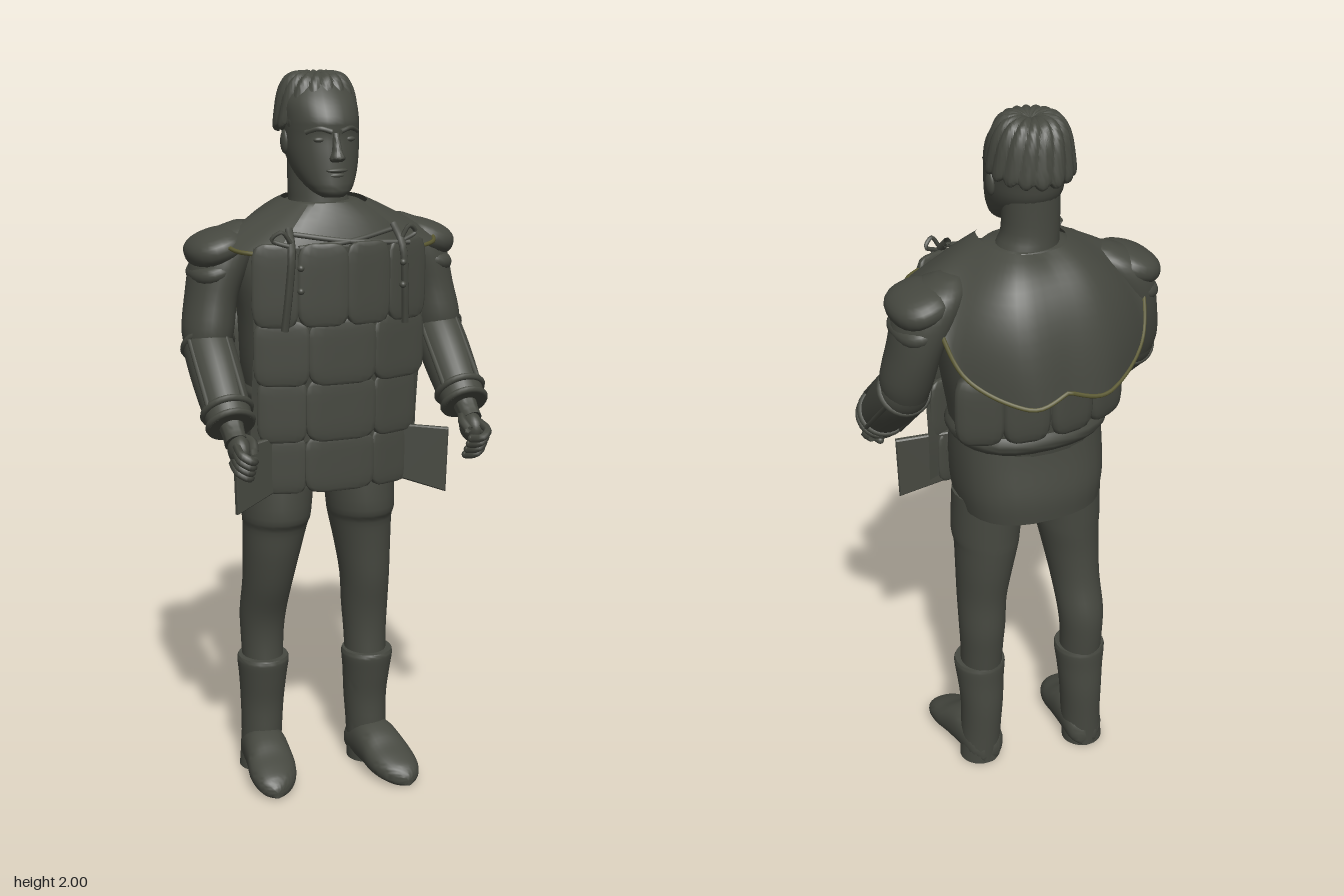
import * as THREE from 'three';
import { mergeVertices, toCreasedNormals } from 'three/addons/utils/BufferGeometryUtils.js';

const cloth = new THREE.MeshStandardMaterial({ color: 0x464840, side: THREE.DoubleSide });
cloth.name = 'dark olive grey';
const gold = new THREE.MeshStandardMaterial({ color: 0x5c5a32, side: THREE.DoubleSide });
gold.name = 'dull gold trim';

const V = (x, y, z) => new THREE.Vector3(x, y, z);

// Surface from a rule fn(u, v) -> [x, y, z]
function grid(nu, nv, fn, crease = 0.9) {
  const pos = [], idx = [];
  for (let j = 0; j <= nv; j++) for (let i = 0; i <= nu; i++) pos.push(...fn(i / nu, j / nv));
  for (let j = 0; j < nv; j++) for (let i = 0; i < nu; i++) {
    const a = j * (nu + 1) + i, b = a + 1, c = a + nu + 1, d = c + 1;
    idx.push(a, b, c, b, d, c);
  }
  const g = new THREE.BufferGeometry();
  g.setAttribute('position', new THREE.Float32BufferAttribute(pos, 3));
  g.setIndex(idx);
  return toCreasedNormals(mergeVertices(g, 1e-5), crease);
}

// Smooth interpolation through rows of numbers
function through(rows, t) {
  const n = rows.length - 1, f = Math.min(Math.max(t, 0), 1) * n, i = Math.min(Math.floor(f), n - 1), w = f - i;
  const p0 = rows[Math.max(i - 1, 0)], p1 = rows[i], p2 = rows[i + 1], p3 = rows[Math.min(i + 2, n)];
  return p1.map((b, k) => {
    const a = p0[k], c = p2[k], d = p3[k];
    return b + 0.5 * w * (c - a + w * (2 * a - 5 * b + 4 * c - d + w * (3 * (b - c) + d - a)));
  });
}

// Capped loft of superellipses; sections are [y, centreX, centreZ, radiusX, radiusZ], bottom to top
function loft(sections, power = 1, nu = 28) {
  const steps = (sections.length - 1) * 4, nv = steps + 2;
  return grid(nu, nv, (u, v) => {
    const j = Math.round(v * nv), s = through(sections, (j - 1) / steps);
    const k = j === 0 || j === nv ? 0 : 1, a = -u * Math.PI * 2;
    const c = Math.cos(a), d = Math.sin(a), r = (q) => k * Math.sign(q) * Math.abs(q) ** power;
    return [s[1] + s[3] * r(c), s[0], s[2] + s[4] * r(d)];
  });
}

// Plump cushion; a higher exponent is boxier
function padGeometry(sx, sy, sz, e) {
  const g = new THREE.SphereGeometry(1, 24, 16), p = g.attributes.position;
  for (let i = 0; i < p.count; i++) {
    const q = V().fromBufferAttribute(p, i);
    const n = (Math.abs(q.x) ** e + Math.abs(q.y) ** e + Math.abs(q.z) ** e) ** (1 / e);
    p.setXYZ(i, q.x / n * sx, q.y / n * sy, q.z / n * sz);
  }
  g.computeVertexNormals();
  return g;
}

const tube = (pts, r, n = 16) => new THREE.TubeGeometry(new THREE.CatmullRomCurve3(pts), n, r, 6);

export function createModel() {
  const root = new THREE.Group();
  const add = (name, geo, parent = root, mat = cloth) => {
    const m = new THREE.Mesh(geo, mat);
    m.name = name;
    parent.add(m);
    return m;
  };
  const pad = (name, x, y, z, sx, sy, sz, e, parent) => {
    const m = add(name, padGeometry(sx, sy, sz, e), parent);
    m.position.set(x, y, z);
    return m;
  };
  const ball = (name, x, y, z, sx, sy, sz, parent) => pad(name, x, y, z, sx, sy, sz, 2, parent);

  // Legs, boots and feet; the left leg stands forward and the right leg back
  const legs = new THREE.Group();
  legs.name = 'legs';
  legs.position.x = -0.02;
  root.add(legs);
  for (const s of [-1, 1]) {
    // the stride fades out towards the hips
    const side = (rows) => rows.map(([y, x, z, ...r]) =>
      [y, x * s, z + s * 0.029 * (1 - THREE.MathUtils.smoothstep(y, 0.4, 0.75)), ...r]);
    add('leg', loft(side([[0.3, 0.148, -0.06, 0.058, 0.066], [0.4, 0.148, -0.068, 0.061, 0.068], [0.48, 0.147, -0.066, 0.066, 0.074],
      [0.58, 0.143, -0.046, 0.07, 0.083], [0.68, 0.136, -0.038, 0.08, 0.093], [0.76, 0.128, -0.034, 0.09, 0.101],
      [0.8, 0.126, -0.026, 0.096, 0.11], [0.93, 0.118, -0.03, 0.101, 0.108]])), legs);
    add('boot', loft(side([[0, 0.158, -0.068, 0.06, 0.06], [0.1, 0.153, -0.066, 0.058, 0.066], [0.2, 0.15, -0.068, 0.062, 0.068],
      [0.28, 0.15, -0.06, 0.068, 0.073], [0.335, 0.15, -0.055, 0.074, 0.078], [0.35, 0.15, -0.055, 0.071, 0.075]])), legs);
    const foot = add('foot', loft([[-0.128, -0.012, -0.03, 0.025, 0.03], [-0.1, -0.01, -0.052, 0.055, 0.052], [-0.03, -0.004, -0.066, 0.063, 0.066],
      [0.03, 0.002, -0.06, 0.066, 0.06], [0.08, 0.008, -0.047, 0.069, 0.047], [0.125, 0.014, -0.038, 0.062, 0.038],
      [0.16, 0.02, -0.029, 0.044, 0.029], [0.182, 0.025, -0.02, 0.012, 0.014]]
      .map(([z, dx, ...r]) => [z + s * 0.029, s * (0.162 + dx), ...r]), 0.85), legs);
    foot.rotation.x = Math.PI / 2;
  }

  // Body, skirt and belt
  add('torso', loft([[1.08, -0.01, -0.04, 0.2, 0.16], [1.2, -0.01, -0.045, 0.218, 0.17], [1.35, 0, -0.05, 0.235, 0.165],
    [1.5, 0, -0.05, 0.25, 0.15], [1.6, 0, -0.05, 0.2, 0.12], [1.66, 0, -0.05, 0.1, 0.09]], 0.85));
  add('skirt', loft([[0.9, -0.01, -0.045, 0.198, 0.177], [0.97, -0.01, -0.045, 0.208, 0.18], [1.07, -0.01, -0.04, 0.21, 0.167],
    [1.15, -0.01, -0.04, 0.205, 0.155]], 0.8));
  add('waistRoll', loft([[1.105, -0.01, -0.04, 0.2, 0.16], [1.14, -0.01, -0.042, 0.222, 0.182], [1.18, -0.01, -0.04, 0.205, 0.165]], 0.85));

  // Quilted chest plate standing off the body
  const frontZ = (x, y) => 0.178 - 0.95 * x * x - 0.04 * THREE.MathUtils.smoothstep(1.4 - y, 0, 0.4);
  const plate = new THREE.Group();
  plate.name = 'chestPlate';
  plate.position.x = -0.015;
  root.add(plate);
  add('plateBacking', grid(16, 16, (u, v) => {
    const x = (u - 0.5) * 0.48, y = 0.92 + v * 0.645;
    return [x, y, frontZ(x, y)];
  }), plate);
  // rows are [bottom, top, column edges]
  const rows = [[1.36, 1.572, [-0.245, -0.13, 0, 0.12, 0.24]], [1.2, 1.37, [-0.24, -0.1, 0.08, 0.24]],
    [1.04, 1.21, [-0.225, -0.1, 0.09, 0.225]], [0.895, 1.05, [-0.205, -0.1, 0.09, 0.205]]];
  for (const [y0, y1, edges] of rows) for (let i = 0; i < edges.length - 1; i++) {
    const x = (edges[i] + edges[i + 1]) / 2, y = (y0 + y1) / 2;
    const m = pad('quiltPanel', x, y, frontZ(x, y), (edges[i + 1] - edges[i]) / 2 + 0.005, (y1 - y0) / 2 + 0.004, 0.013, 5, plate);
    m.rotation.y = Math.atan(1.9 * x);
  }

  // Angled hip flaps, outer edges swung forwards
  for (const s of [-1, 1]) {
    const shape = new THREE.Shape([[0, 1.05], [0.145, 1.035], [0.14, 0.86], [0.02, 0.9]].map(([x, y]) => new THREE.Vector2(s * x, y)));
    const flap = add('hipFlap', new THREE.ExtrudeGeometry(shape, { depth: 0.01, bevelSize: 0.004, bevelThickness: 0.004, bevelSegments: 1 }));
    flap.position.set(s * 0.17 - 0.01, 0, 0.095);
    flap.rotation.y = -s * 0.3;
  }

  // Back pouches
  for (const x of [-0.19, -0.068, 0.068, 0.19]) {
    const m = pad('backPouch', x * 0.95, 1.255, -0.218 + Math.abs(x) * 0.3, 0.066, 0.1, 0.03, 4);
    m.rotation.y = -x * 2.2;
  }

  // Shoulder cape; each column is neck, middle and hem points from the back centre round to the lapel
  const columns = [[0, 1.66, -0.15, 0, 1.56, -0.265, 0, 1.34, -0.315], [0.06, 1.668, -0.15, 0.12, 1.55, -0.26, 0.12, 1.315, -0.314],
    [0.1, 1.668, -0.1, 0.21, 1.56, -0.18, 0.275, 1.39, -0.205], [0.11, 1.668, -0.04, 0.21, 1.62, -0.05, 0.31, 1.56, -0.09],
    [0.1, 1.665, 0.03, 0.19, 1.61, 0.05, 0.28, 1.55, 0.07], [0.08, 1.66, 0.06, 0.14, 1.605, 0.105, 0.2, 1.545, 0.14]];
  const capePoint = (u, v) => {
    const w = u * 2 - 1, c = through(columns, Math.abs(w));
    const bez = [0, 1, 2].map((k) => c[k] * (1 - v) * (1 - 2 * v) + c[k + 3] * 4 * v * (1 - v) + c[k + 6] * v * (2 * v - 1));
    // narrower behind the left shoulder
    bez[0] *= w > 0 ? 1 - 0.12 * v * Math.sin(Math.PI * Math.min(1, w * 1.4)) : -1;
    return bez;
  };
  add('cape', grid(48, 12, capePoint, 1.2));
  add('capeHem', tube(Array.from({ length: 51 }, (_, i) => V(...capePoint(i / 50, 1))), 0.006, 100), root, gold);

  // Laces across the chest and hanging tassels
  for (const s of [-1, 1]) {
    const x = s * 0.155 - 0.012;
    add('crossLace', tube([V(x, 1.6, 0.13), V(0, 1.575, 0.16), V(-x, 1.565, 0.165)], 0.007));
    add('hangingLace', tube([V(x * 0.95, 1.61, 0.13), V(x, 1.56, 0.175), V(x * 1.05, 1.46, 0.178), V(x * 1.1, 1.35, 0.165)], 0.011));
    add('laceLoop', tube([V(x, 1.58, 0.17), V(x * 1.15, 1.61, 0.17), V(x * 1.3, 1.59, 0.16), V(x, 1.57, 0.17)], 0.006));
    for (const y of [1.46, 1.52]) ball('laceBead', x * 0.92, y, 0.207, 0.009, 0.009, 0.009);
  }

  // Arms
  for (const s of [-1, 1]) {
    const arm = new THREE.Group();
    arm.name = s > 0 ? 'leftArm' : 'rightArm';
    root.add(arm);
    add('upperArm', loft([[1.25, 0.335, -0.03, 0.05, 0.055], [1.32, 0.333, -0.036, 0.069, 0.083], [1.42, 0.315, -0.055, 0.07, 0.093],
      [1.52, 0.282, -0.062, 0.082, 0.098], [1.58, 0.248, -0.063, 0.07, 0.08], [1.61, 0.22, -0.063, 0.03, 0.035]]
      .map(([y, x, ...r]) => [y, s * x, ...r])), arm);
    const shoulderPads = [[0.304, 1.545, 0.08, 0.046, 0.103], [0.314, 1.485, 0.064, 0.034, 0.096], [0.315, 1.428, 0.061, 0.03, 0.085]];
    for (const [x, y, rx, ry, rz] of shoulderPads) {
      const m = pad('shoulderPad', s * x, y, -0.058, rx, ry, rz, 2.4, arm);
      m.rotation.z = -s * 0.32;
    }
    // Forearm built along its own axis, then tilted forwards
    const fore = new THREE.Group();
    fore.name = 'forearm';
    fore.position.set(s * 0.336, 1.295, -0.034);
    fore.quaternion.setFromUnitVectors(V(0, 1, 0), V(0, -0.18, 0.2).normalize());
    arm.add(fore);
    add('bracer', loft([[-0.04, 0, 0, 0.05, 0.055], [0, 0, 0, 0.066, 0.07], [0.08, 0, 0, 0.069, 0.074], [0.18, 0, 0, 0.066, 0.068],
      [0.28, 0, 0, 0.059, 0.058]]), fore);
    for (const [y, r] of [[0.01, 0.066], [0.23, 0.063], [0.27, 0.058]]) {
      const m = add('cuffBand', new THREE.TorusGeometry(r, 0.01, 8, 28), fore);
      m.rotation.x = Math.PI / 2;
      m.position.y = y;
    }
    for (let i = 0; i < 4; i++) {
      const a = i * Math.PI / 2 + 0.5;
      add('bracerStrap', tube([0.01, 0.12, 0.23].map((y) => V(Math.cos(a) * 0.067, y, Math.sin(a) * 0.069)), 0.007), fore);
    }
    // Half-closed hand
    add('wrist', loft([[0.25, 0, 0, 0.036, 0.036], [0.3, 0, 0, 0.03, 0.033], [0.33, 0, 0, 0.03, 0.036]]), fore);
    ball('palm', s * 0.332, 1.058, 0.222, 0.028, 0.042, 0.048, arm);
    for (let i = 0; i < 4; i++) {
      const y = 1.075 - i * 0.018, z = 0.264 - i * 0.012;
      add('finger', tube([V(s * 0.345, y, z - 0.02), V(s * 0.347, y - 0.012, z + 0.03), V(s * 0.325, y - 0.026, z + 0.043),
        V(s * 0.308, y - 0.034, z + 0.015)], 0.0115), arm);
      ball('fingertip', s * 0.308, y - 0.034, z + 0.015, 0.011, 0.011, 0.011, arm);
    }
    add('thumb', tube([V(s * 0.315, 1.085, 0.2), V(s * 0.3, 1.08, 0.235), V(s * 0.305, 1.062, 0.265)], 0.0125), arm);
  }

  // Head
  const head = new THREE.Group();
  head.name = 'head';
  head.position.x = -0.014;
  root.add(head);
  add('neck', loft([[1.58, 0.01, -0.06, 0.1, 0.085], [1.65, 0.01, -0.06, 0.086, 0.078], [1.7, 0, -0.06, 0.077, 0.072],
    [1.8, 0, -0.06, 0.078, 0.072]]), head);
  add('face', loft([[1.682, 0, 0.07, 0.03, 0.028], [1.7, 0, 0.052, 0.056, 0.058], [1.74, 0, 0.012, 0.081, 0.095], [1.79, 0, -0.015, 0.095, 0.117],
    [1.84, 0, -0.024, 0.099, 0.12], [1.88, 0, -0.03, 0.1, 0.127], [1.93, 0, -0.047, 0.098, 0.116], [1.975, 0, -0.055, 0.07, 0.08]], 0.95), head);
  add('nose', loft([[1.775, 0, 0.098, 0.016, 0.01], [1.785, 0, 0.104, 0.021, 0.026], [1.805, 0, 0.1, 0.013, 0.021],
    [1.85, 0, 0.09, 0.009, 0.012]], 1, 12), head);
  ball('upperLip', 0, 1.753, 0.1, 0.03, 0.007, 0.012, head);
  ball('lowerLip', 0, 1.74, 0.097, 0.025, 0.008, 0.012, head);
  ball('chin', 0, 1.705, 0.09, 0.03, 0.02, 0.02, head);
  for (const s of [-1, 1]) {
    ball('eye', s * 0.04, 1.832, 0.081, 0.018, 0.008, 0.01, head);
    add('brow', tube([V(s * 0.012, 1.853, 0.097), V(s * 0.042, 1.861, 0.086), V(s * 0.072, 1.85, 0.06)], 0.007), head);
    ball('ear', s * 0.098, 1.82, -0.03, 0.011, 0.032, 0.02, head);
  }

  // Hair: swirled locks falling from the crown
  const profile = [[0, 1.985], [0.035, 2.0], [0.075, 1.992], [0.1, 1.955], [0.112, 1.9], [0.115, 1.865], [0.1, 1.86]];
  add('hair', grid(144, 24, (u, v) => {
    const a = u * Math.PI * 2, [r, y] = through(profile, v);
    const lock = Math.abs(Math.sin(a * 8 + 4 * (1 - v) ** 1.5));
    const back = 0.5 - 0.5 * Math.sin(a), low = THREE.MathUtils.smoothstep(v, 0.5, 1);
    const rr = r * (0.95 + 0.06 * lock);
    return [rr * Math.cos(a), y - 0.006 * (1 - lock) * Math.min(1, v * 4) - low * (0.028 * back - 0.022 * (1 - lock)),
      -0.058 + rr * Math.sin(a) * 1.03];
  }, 0.7), head);
  return root;
}
